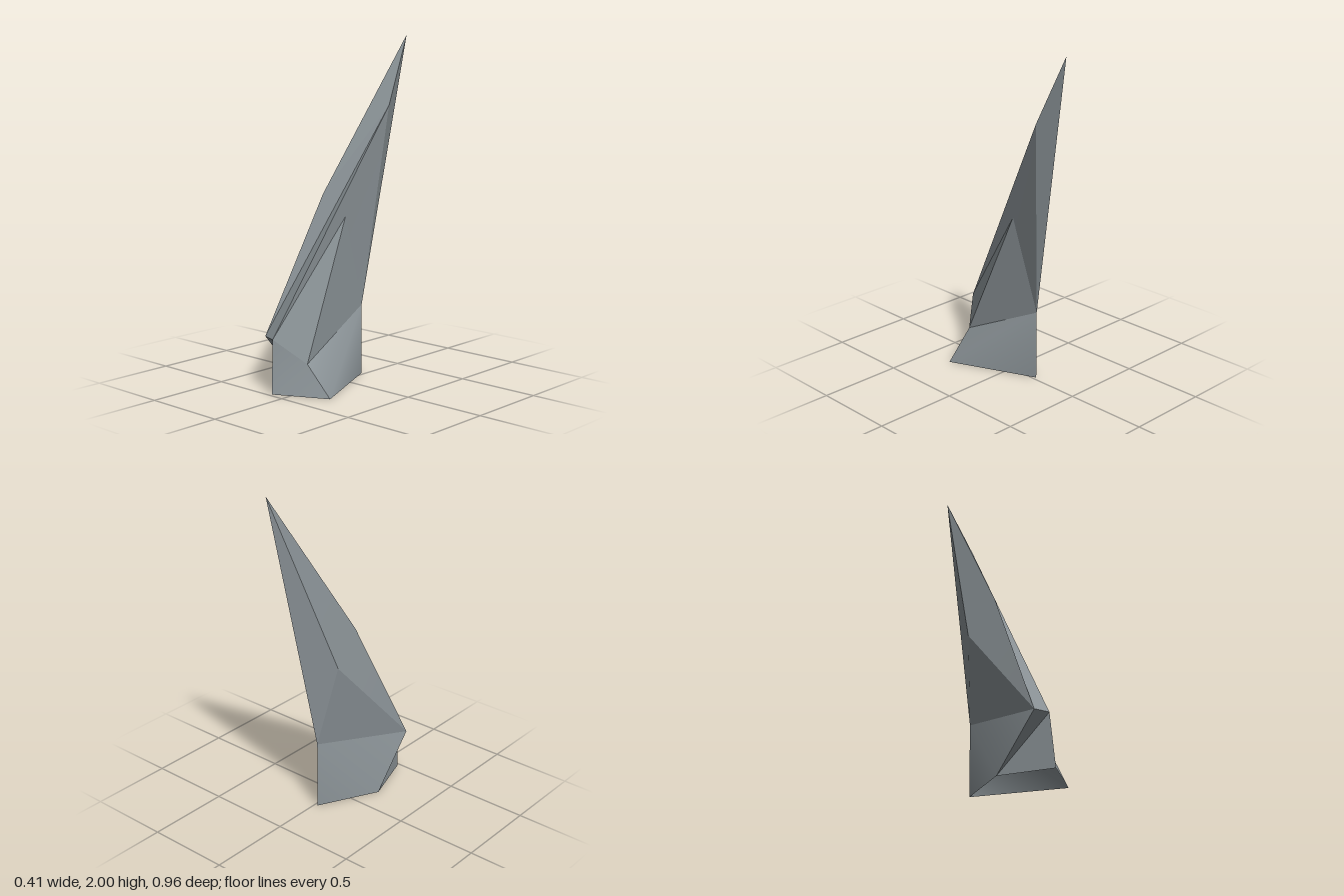
import * as THREE from 'three';
import { toCreasedNormals } from 'three/addons/utils/BufferGeometryUtils.js';

// Named corners of the spike
const P = {
  tip: [0.07, 2, -0.48],
  neck: [0.1, 1.6, -0.29],
  ridge: [-0.096, 1.1, 0.06],
  hip: [-0.12, 0.92, -0.12],
  notch: [0.006, 0.97, -0.02],
  rear: [-0.02, 0.42, -0.19],
  browR: [-0.205, 0.31, 0.425],
  browL: [-0.115, 0.31, 0.455],
  spur: [0.035, 0.17, 0.33],
  footFront: [-0.1, 0, 0.48],
  footLeft: [0.205, 0, 0.325],
  footRear: [-0.02, 0, -0.19],
  footRight: [-0.202, 0, 0.162],
};

// Builds one shell from triangles of named corners; edges sharper than crease stay hard
function shell(name, crease, faces, material) {
  const points = faces.flatMap((f) => f.split(' ').map((k) => new THREE.Vector3(...P[k])));
  const geometry = toCreasedNormals(new THREE.BufferGeometry().setFromPoints(points), crease);
  const mesh = new THREE.Mesh(geometry, material);
  mesh.name = name;
  return mesh;
}

export function createModel() {
  const material = new THREE.MeshStandardMaterial({ color: 0x8a9296, side: THREE.DoubleSide });
  const group = new THREE.Group();
  group.name = 'spike';

  // Flared base, open underneath
  group.add(shell('base', 0.5, [
    'browL footRight footFront',
    'footRight browL browR',
    'browL footFront spur',
    'spur footFront footLeft',
    'rear footRear footRight',
    'rear footRight browR',
  ], material));

  // Softly rounded left flank of the base
  group.add(shell('flank', 1.2, [
    'spur footLeft rear',
    'rear footLeft footRear',
  ], material));

  // Faceted leaning blade rising to the tip
  group.add(shell('blade', 0.1, [
    'browL spur notch',
    'browL notch neck',
    'notch spur rear',
    'notch rear neck',
    'rear browR hip',
    'rear hip tip',
    'hip browR ridge',
    'hip ridge tip',
    'ridge browR neck',
    'browR browL neck',
    'ridge neck tip',
    'tip neck rear',
  ], material));

  return group;
}
